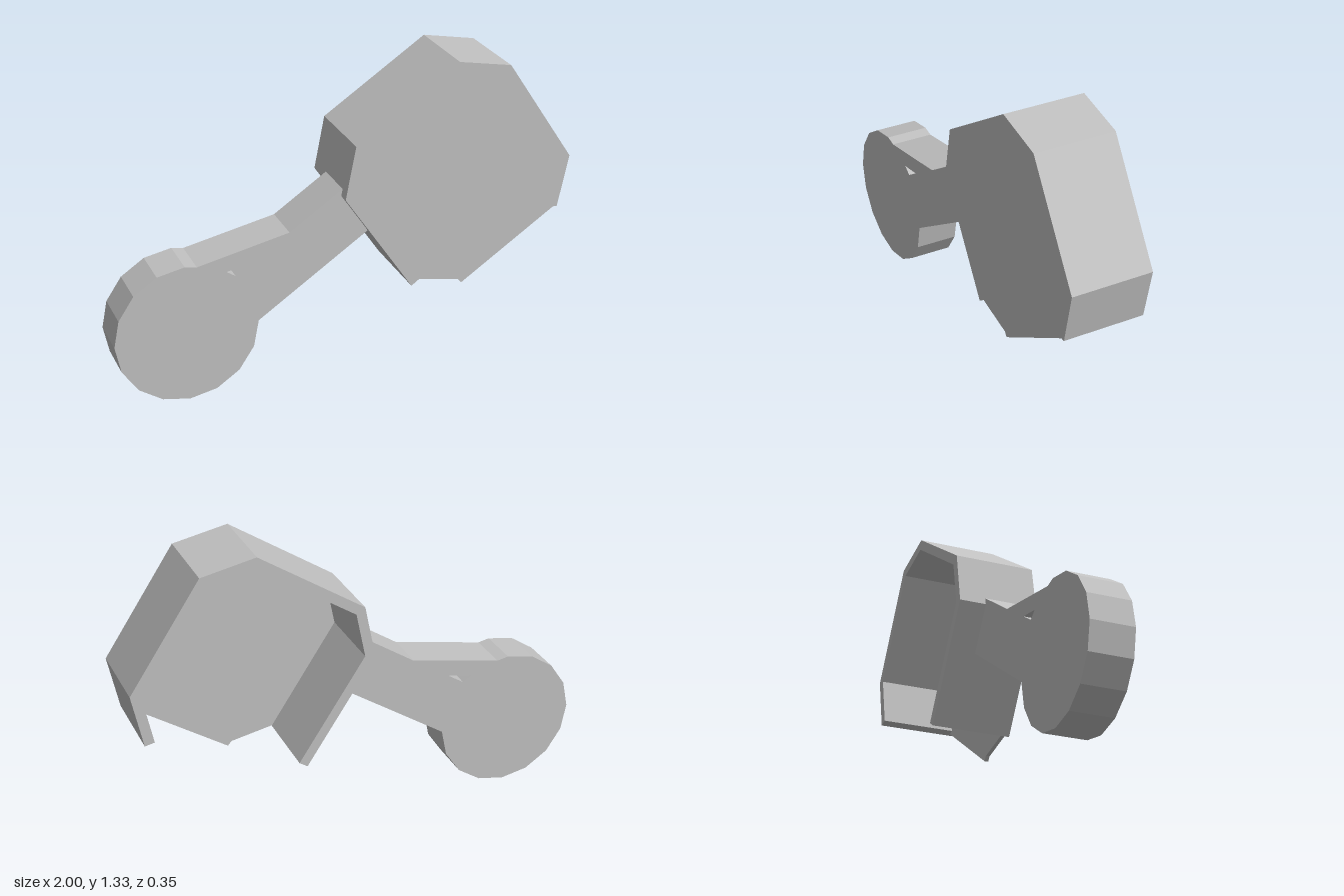
import * as THREE from 'three';

const toVectors = (pts) => pts.map(([x, y]) => new THREE.Vector2(x, y));

// Extrudes an outline between two z positions
function slab(name, points, z0, z1, material, hole) {
  const shape = new THREE.Shape(points);
  if (hole) shape.holes.push(new THREE.Path(hole));
  const geometry = new THREE.ExtrudeGeometry(shape, { depth: z1 - z0, bevelEnabled: false });
  geometry.translate(0, 0, z0);
  const mesh = new THREE.Mesh(geometry, material);
  mesh.name = name;
  return mesh;
}

// Offsets an open clockwise path inwards with mitred corners
function insetPath(path, t) {
  const normal = (a, b) => {
    const d = b.clone().sub(a).normalize();
    return new THREE.Vector2(d.y, -d.x);
  };
  return path.map((p, i) => {
    const n1 = i > 0 ? normal(path[i - 1], p) : normal(p, path[i + 1]);
    const n2 = i < path.length - 1 ? normal(p, path[i + 1]) : n1;
    const m = n1.clone().add(n2).normalize();
    return p.clone().addScaledVector(m, t / m.dot(n1));
  });
}

export function createModel() {
  const model = new THREE.Group();
  model.name = 'leverAndHousing';
  const grey = new THREE.MeshStandardMaterial({ color: 0xc0c0c0, flatShading: true });
  grey.name = 'plainGrey';

  // Housing: rim wall open at the back and at the lower right
  const rim = toVectors([
    [0.275, 0.36], [-0.025, 0.81], [0.02, 1.038], [0.467, 1.334],
    [0.698, 1.288], [0.997, 0.84], [0.951, 0.612],
  ]);
  const wall = [...rim, ...insetPath(rim, 0.042).reverse()];
  model.add(slab('housingWall', wall, -0.173, 0.156, grey));

  // Front cover closing the housing
  const cover = [...rim, ...toVectors([
    [0.932, 0.612], [0.508, 0.33], [0.492, 0.349], [0.31, 0.385],
  ])];
  model.add(slab('frontCover', cover, 0.156, 0.173, grey));

  // Lever: arm ending in a sixteen-sided disc, pierced by a small triangle
  const lever = toVectors([
    [-0.39, 0.31], [0.092, 0.632], [-0.019, 0.84], [-0.25, 0.686], [-0.645, 0.605],
  ]);
  for (let i = 4; i < 16; i++) {
    const a = (i * Math.PI) / 8;
    lever.push(new THREE.Vector2(-0.695 + 0.305 * Math.cos(a), 0.31 + 0.305 * Math.sin(a)));
  }
  const hole = toVectors([[-0.522, 0.56], [-0.414, 0.58], [-0.484, 0.534]]);
  model.add(slab('lever', lever, -0.058, 0.126, grey, hole));

  // Stand on the ground
  model.position.y = -0.005;
  return model;
}
